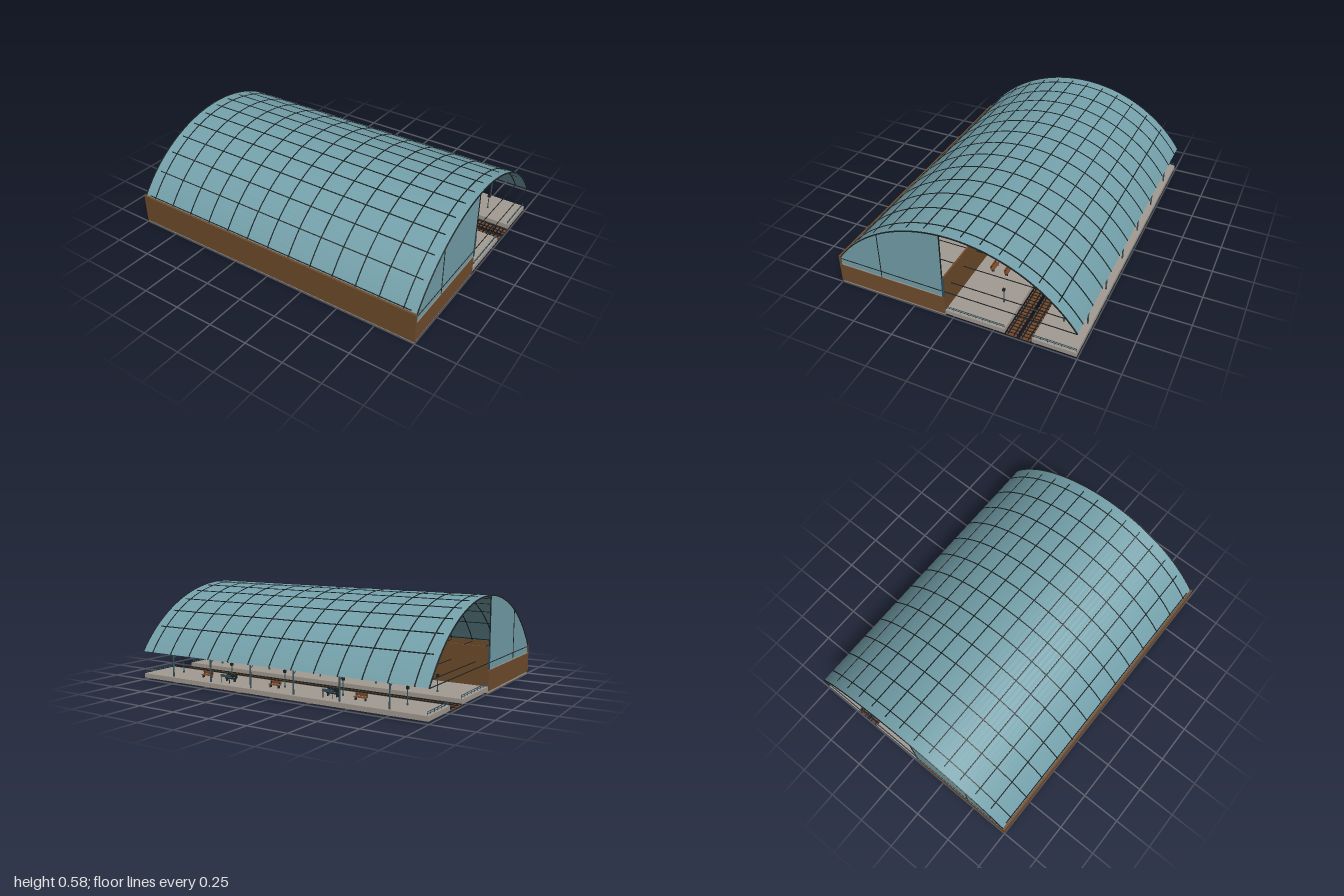
import * as THREE from 'three';

const mat = (name, color, side = THREE.FrontSide) => {
  const m = new THREE.MeshStandardMaterial({ color, side });
  m.name = name;
  return m;
};

export function createModel() {
  const root = new THREE.Group();
  root.name = 'trainShed';
  const glass = mat('teal glass', 0x74a1ab, THREE.DoubleSide);
  const brick = mat('brown brick', 0x704c2c);
  const stone = mat('warm grey stone', 0xa39b92);
  const iron = mat('dark iron', 0x1b2224);
  const steel = mat('slate steel', 0x34505a);
  const wood = mat('bench wood', 0x7a4a28);
  const pale = mat('clock face', 0xe6e2d6);

  const add = (parent, name, geo, material) => {
    const m = new THREE.Mesh(geo, material);
    m.name = name;
    parent.add(m);
    return m;
  };
  // Box given by its extents on each axis
  const box = (parent, name, material, x0, x1, y0, y1, z0, z1) => {
    const m = add(parent, name, new THREE.BoxGeometry(x1 - x0, y1 - y0, z1 - z0), material);
    m.position.set((x0 + x1) / 2, (y0 + y1) / 2, (z0 + z1) / 2);
    return m;
  };
  // Upright round post
  const post = (parent, name, material, x, z, y0, y1, r) => {
    const m = add(parent, name, new THREE.CylinderGeometry(r, r, y1 - y0, 8), material);
    m.position.set(x, (y0 + y1) / 2, z);
    return m;
  };
  const group = (name) => {
    const g = new THREE.Group();
    g.name = name;
    root.add(g);
    return g;
  };

  // Circular roof profile
  const R = 0.9, CY = -0.323, HALF = 0.975;
  const roofY = (z, r = R) => Math.sqrt(r * r - z * z) + CY;
  const roof = group('roof');
  const shell = new THREE.CylinderGeometry(R, R, 1.996, 56, 1, true, Math.PI / 2 - HALF, 2 * HALF);
  shell.rotateZ(Math.PI / 2);
  add(roof, 'roofGlass', shell, glass).position.y = CY;

  // Arched ribs, extruded from a ring segment
  const ring = new THREE.Shape();
  ring.absarc(0, 0, R + 0.003, Math.PI / 2 - HALF, Math.PI / 2 + HALF, false);
  ring.absarc(0, 0, R - 0.003, Math.PI / 2 + HALF, Math.PI / 2 - HALF, true);
  const ribGeo = new THREE.ExtrudeGeometry(ring, { depth: 0.006, bevelEnabled: false, curveSegments: 40 });
  ribGeo.translate(0, 0, -0.003);
  ribGeo.rotateY(-Math.PI / 2);
  const ribXs = Array.from({ length: 13 }, (_, i) => (i - 6) * 0.1525);
  for (const x of [-0.996, ...ribXs, 0.996]) {
    add(roof, 'rib', ribGeo, iron).position.set(x, CY, 0);
    box(roof, 'tieRod', iron, x - 0.002, x + 0.002, 0.179, 0.183, -0.745, 0.745);
  }
  // Purlins along the length
  for (let i = 0; i < 13; i++) {
    const z = 0.73 - i * 0.1125;
    const p = box(roof, 'purlin', iron, -0.96, 0.96, -0.003, 0.003, -0.003, 0.003);
    p.position.set(0, roofY(z), z);
    p.rotation.x = Math.asin(z / R);
  }

  // Ticket hall: base, upper floor, parapet and platform wall
  const hall = group('hall');
  box(hall, 'hallFooting', stone, -0.995, 0.995, 0, 0.012, 0.05, 0.745);
  box(hall, 'hallBase', brick, -0.998, 0.998, 0.012, 0.136, 0.05, 0.745);
  box(hall, 'hallFloor', stone, -0.997, 0.997, 0.136, 0.142, 0.05, 0.744);
  box(hall, 'frontWall', brick, -1, 1, 0.012, 0.2, 0.736, 0.75);
  box(hall, 'platformWall', brick, -0.994, 0.994, 0.012, 0.276, 0.048, 0.058);

  // Glazed gable halves over the hall
  const gable = new THREE.Shape();
  gable.moveTo(0.055, 0.14);
  gable.lineTo(0.74, 0.14);
  for (let i = 0; i <= 24; i++) {
    const z = 0.74 - (i / 24) * 0.685;
    gable.lineTo(z, roofY(z) - 0.001);
  }
  const gableGeo = new THREE.ShapeGeometry(gable);
  gableGeo.rotateY(-Math.PI / 2);
  for (const s of [-1, 1]) {
    add(hall, 'gableGlass', gableGeo, glass).position.x = s * 0.995;
    box(hall, 'gableEdgePost', iron, s * 0.996 - 0.003, s * 0.996 + 0.003, 0.14, roofY(0.055), 0.053, 0.058);
    box(hall, 'gableMullion', iron, s * 0.996 - 0.002, s * 0.996 + 0.002, 0.14, roofY(0.46), 0.458, 0.462);
    box(hall, 'wallEndPost', steel, s * 0.996 - 0.004, s * 0.996 + 0.004, 0.14, 0.278, 0.046, 0.06);
  }
  // Wall clock facing the platforms
  const clock = add(hall, 'clockRim', new THREE.CylinderGeometry(0.027, 0.027, 0.01, 24), iron);
  clock.rotation.x = Math.PI / 2;
  clock.position.set(0, 0.14, 0.043);
  const dial = add(hall, 'clockDial', new THREE.CylinderGeometry(0.022, 0.022, 0.003, 24), pale);
  dial.rotation.x = Math.PI / 2;
  dial.position.set(0, 0.14, 0.0375);

  // Two platforms with end railings
  const TOP = 0.04;
  const platforms = group('platforms');
  for (const [z0, z1] of [[-0.32, 0.05], [-0.745, -0.485]]) {
    box(platforms, 'platform', stone, -0.995, 0.995, 0.012, TOP, z0, z1);
    for (const x of [-0.985, 0.985]) {
      for (const y of [0.05, 0.06])
        box(platforms, 'endRail', steel, x - 0.0015, x + 0.0015, y - 0.0015, y + 0.0015, z0 + 0.005, z1 - 0.005);
      const n = Math.round((z1 - z0) / 0.045);
      for (let i = 0; i <= n; i++)
        post(platforms, 'railPost', steel, x, z0 + 0.005 + (i / n) * (z1 - z0 - 0.01), TOP, 0.061, 0.0015);
    }
  }

  // Two tracks
  const tracks = group('tracks');
  for (const z of [-0.36, -0.445]) {
    for (let i = 0; i < 80; i++) {
      const x = (i - 39.5) * 0.025;
      box(tracks, 'sleeper', wood, x - 0.007, x + 0.007, 0.008, 0.014, z - 0.031, z + 0.031);
    }
    for (const d of [-0.018, 0.018])
      box(tracks, 'rail', iron, -0.995, 0.995, 0.014, 0.02, z + d - 0.003, z + d + 0.003);
  }

  // Back columns with diagonal brackets
  const furniture = group('platformFittings');
  for (let i = 0; i < 6; i++) {
    const x = (i - 2.5) * 0.305;
    post(furniture, 'column', steel, x, -0.722, TOP, 0.182, 0.005);
    const b = box(furniture, 'bracket', steel, -0.002, 0.002, -0.002, 0.002, -0.021, 0.021);
    b.position.set(x, 0.168, -0.703);
    b.rotation.x = -0.6;
  }

  // Lamp posts
  for (const z of [-0.225, -0.595])
    for (let i = 0; i < 5; i++) {
      const x = (i - 2) * 0.4;
      post(furniture, 'lampFoot', steel, x, z, TOP, 0.05, 0.006);
      post(furniture, 'lampPost', steel, x, z, 0.05, 0.13, 0.003);
      box(furniture, 'lampHead', iron, x - 0.007, x + 0.007, 0.126, 0.142, z - 0.007, z + 0.007);
    }

  // Benches: seat, back and legs
  const bench = (x, z, material) => {
    const g = new THREE.Group();
    g.name = 'bench';
    box(g, 'seat', material, -0.038, 0.038, 0.016, 0.021, -0.011, 0.011);
    box(g, 'backrest', material, -0.038, 0.038, 0.023, 0.04, 0.009, 0.013);
    for (const s of [-1, 1]) {
      box(g, 'legs', iron, s * 0.03 - 0.002, s * 0.03 + 0.002, 0, 0.017, -0.009, 0.009);
      box(g, 'backStay', iron, s * 0.03 - 0.002, s * 0.03 + 0.002, 0.017, 0.036, 0.0075, 0.0095);
    }
    g.position.set(x, TOP, z);
    furniture.add(g);
  };
  for (const z of [-0.05, -0.14, -0.64]) {
    for (const x of [-0.54, 0.04, 0.56]) bench(x, z, wood);
    if (z !== -0.14) for (const x of [-0.36, 0.37]) bench(x, z, iron);
  }
  // Platform signs on two posts
  for (const z of [-0.06, -0.69])
    for (const x of [-0.36, 0.37]) {
      for (const d of [-0.03, 0.03]) post(furniture, 'signPost', iron, x + d, z, TOP, 0.09, 0.002);
      box(furniture, 'signBoard', steel, x - 0.036, x + 0.036, 0.074, 0.09, z - 0.003, z + 0.003);
    }
  return root;
}
